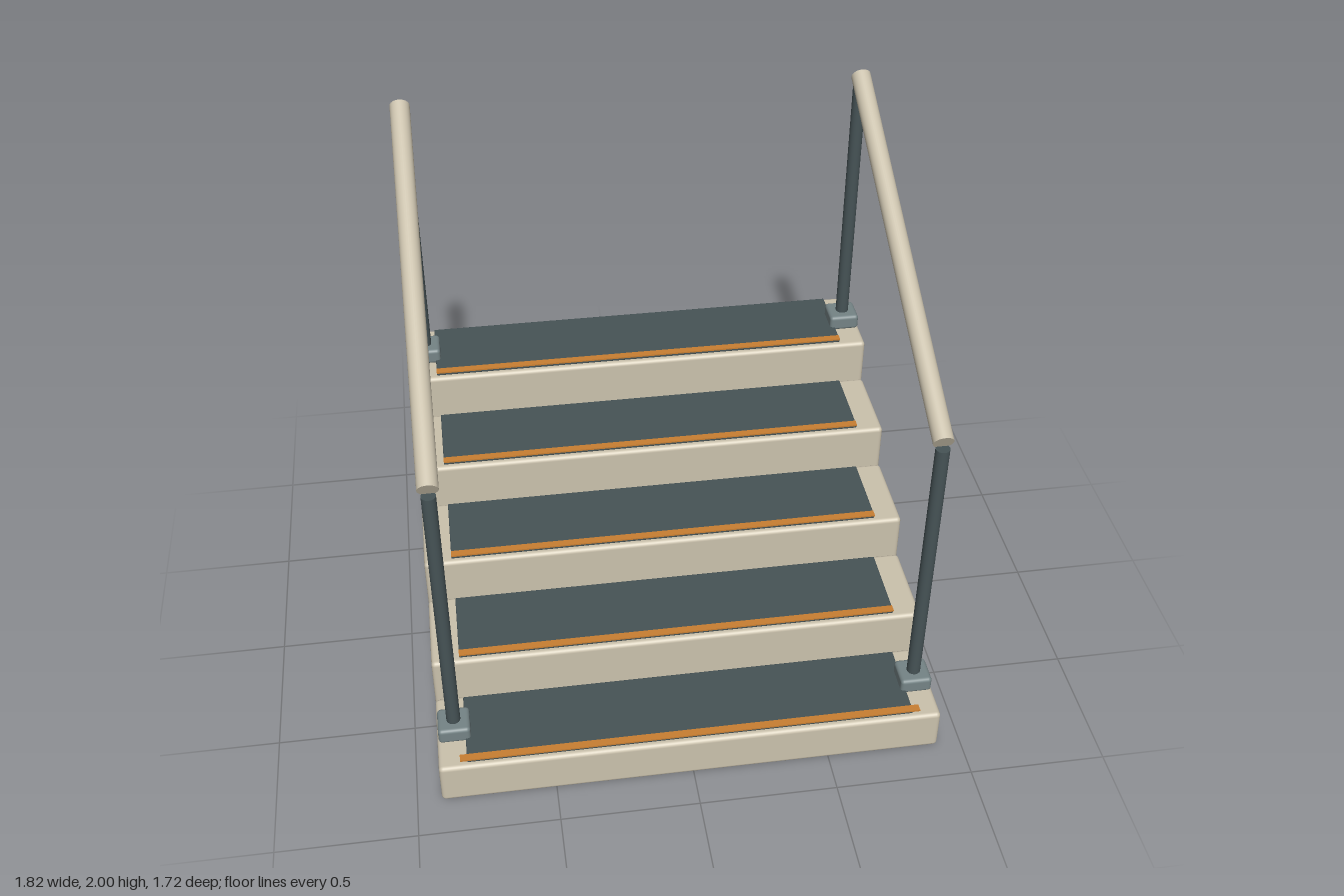
import * as THREE from 'three';
import { RoundedBoxGeometry } from 'three/addons/geometries/RoundedBoxGeometry.js';

const paint = (color) => new THREE.MeshStandardMaterial({ color });

export function createModel() {
  const model = new THREE.Group();
  const stone = paint(0xcbc2ad), slate = paint(0x465356);
  const orange = paint(0xc97f32), metal = paint(0x758486);

  const add = (name, geometry, material, x, y, z) => {
    const mesh = new THREE.Mesh(geometry, material);
    mesh.name = name;
    mesh.position.set(x, y, z);
    model.add(mesh);
    return mesh;
  };

  // Five solid steps, each with a dark tread pad and an orange nosing strip
  const pitch = 0.3435, rise = 0.1745;
  for (let i = 0; i < 5; i++) {
    const z = (2 - i) * pitch, top = 0.166 + i * rise;
    add('step', new RoundedBoxGeometry(1.824, top, 0.342, 3, 0.016), stone, 0, top / 2, z);
    add('treadPad', new RoundedBoxGeometry(1.62, 0.016, 0.3, 2, 0.004), slate, 0, top + 0.006, z - 0.001);
    add('nosing', new THREE.BoxGeometry(i ? 1.62 : 1.67, 0.006, 0.028), orange, 0, top + 0.0145, z + 0.14);
  }

  // Handrails, mirrored left and right
  const low = new THREE.Vector3(0, 1.299, 0.68), high = new THREE.Vector3(0, 1.968, -0.676);
  const slope = high.clone().sub(low);
  for (const x of [-0.848, 0.848]) {
    for (const [name, z, bottom, top] of [['front', 0.68, 0.166, 1.275], ['back', -0.68, 0.864, 1.97]]) {
      add(name + 'PostBase', new RoundedBoxGeometry(0.116, 0.062, 0.116, 3, 0.014), metal, x, bottom + 0.029, z);
      add(name + 'Post', new THREE.CylinderGeometry(0.025, 0.025, top - bottom, 24), slate, x, (top + bottom) / 2, z);
    }
    const rail = add('handrail', new THREE.CylinderGeometry(0.036, 0.036, slope.length(), 32), stone,
      x, (low.y + high.y) / 2, (low.z + high.z) / 2);
    rail.quaternion.setFromUnitVectors(new THREE.Vector3(0, 1, 0), slope.clone().normalize());
  }
  return model;
}
